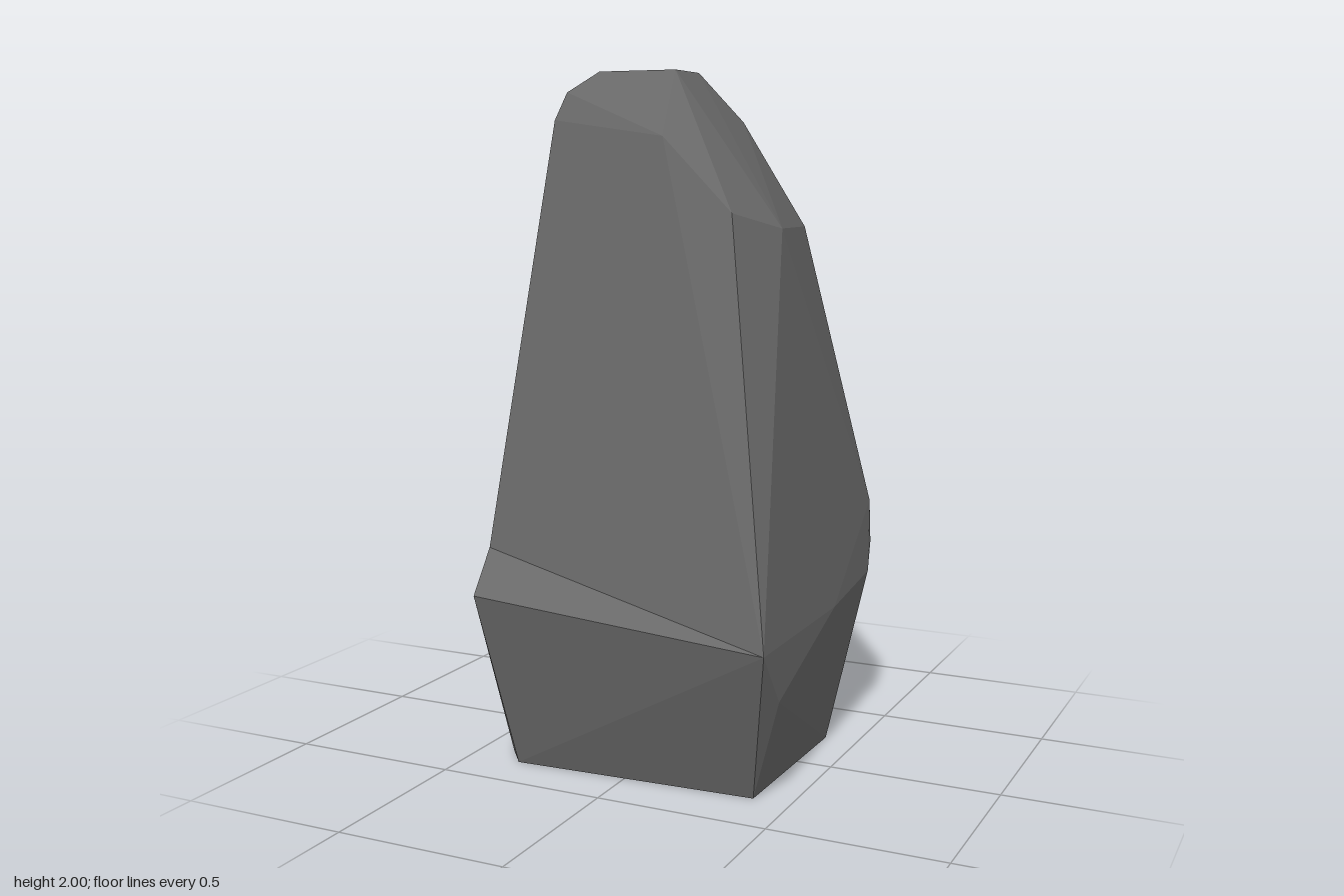
import * as THREE from 'three';
import { ConvexGeometry } from 'three/addons/geometries/ConvexGeometry.js';

const stone = new THREE.MeshStandardMaterial({ color: 0x696969 });
stone.name = 'grey stone';

// A flat-faced chunk of stone wrapped around its corner points
function chunk(name, corners) {
  const geometry = new ConvexGeometry(corners.map((c) => new THREE.Vector3(...c)));
  const mesh = new THREE.Mesh(geometry, stone);
  mesh.name = name;
  return mesh;
}

export function createModel() {
  const group = new THREE.Group();
  group.name = 'rock';

  // Corners of the base, counted around the ground
  const base = [
    [-0.34, 0, 0.355], [0.39, 0, 0.32], [0.4, 0, -0.23],
    [0.12, 0, -0.475], [-0.355, 0, -0.475], [-0.4, 0, -0.36], [-0.4, 0, 0.28],
  ];
  // Flat right flank and the edge shared with the front ledge
  const flank = [
    [-0.48, 0.14, -0.36], [-0.48, 0.3, -0.475], [-0.48, 0.72, -0.475],
    [-0.48, 0.98, -0.43], [-0.48, 1.05, 0.02],
  ];
  const ledgeEdge = [
    [-0.48, 0.55, 0.25], [-0.48, 0.14, 0.18], [-0.44, 0.63, 0.335],
    [0.48, 0.455, 0.472], [0.48, 0.3, 0.36],
  ];
  // Widest ring on the left and back
  const waist = [
    [0.48, 0.46, -0.07], [0.465, 0.49, -0.41], [0.45, 0.57, -0.475], [0.445, 0.7, -0.475],
  ];
  // Shoulders below the cap
  const shoulders = [
    [0.345, 1.555, 0.03], [0.265, 1.6, 0.2], [0.27, 1.55, -0.34], [-0.37, 1.6, -0.335],
    [0.04, 1.81, 0.168], [-0.335, 1.86, 0.11],
    [-0.19, 1.86, -0.287], [0.09, 1.86, -0.287],
    [-0.31, 1.92, -0.105], [-0.31, 1.94, 0.08],
  ];
  const cap = [[-0.23, 2, 0.03], [0.01, 2, 0.02], [0.005, 2, -0.15], [-0.2, 2, -0.155]];

  group.add(chunk('rockBody', [...base, ...flank, ...ledgeEdge, ...waist, ...shoulders, ...cap]));

  // Wedge that juts out along the lower front
  group.add(chunk('frontLedge', [[-0.41, 0.52, 0.472], base[0], base[1], base[6], ...ledgeEdge]));
  return group;
}
